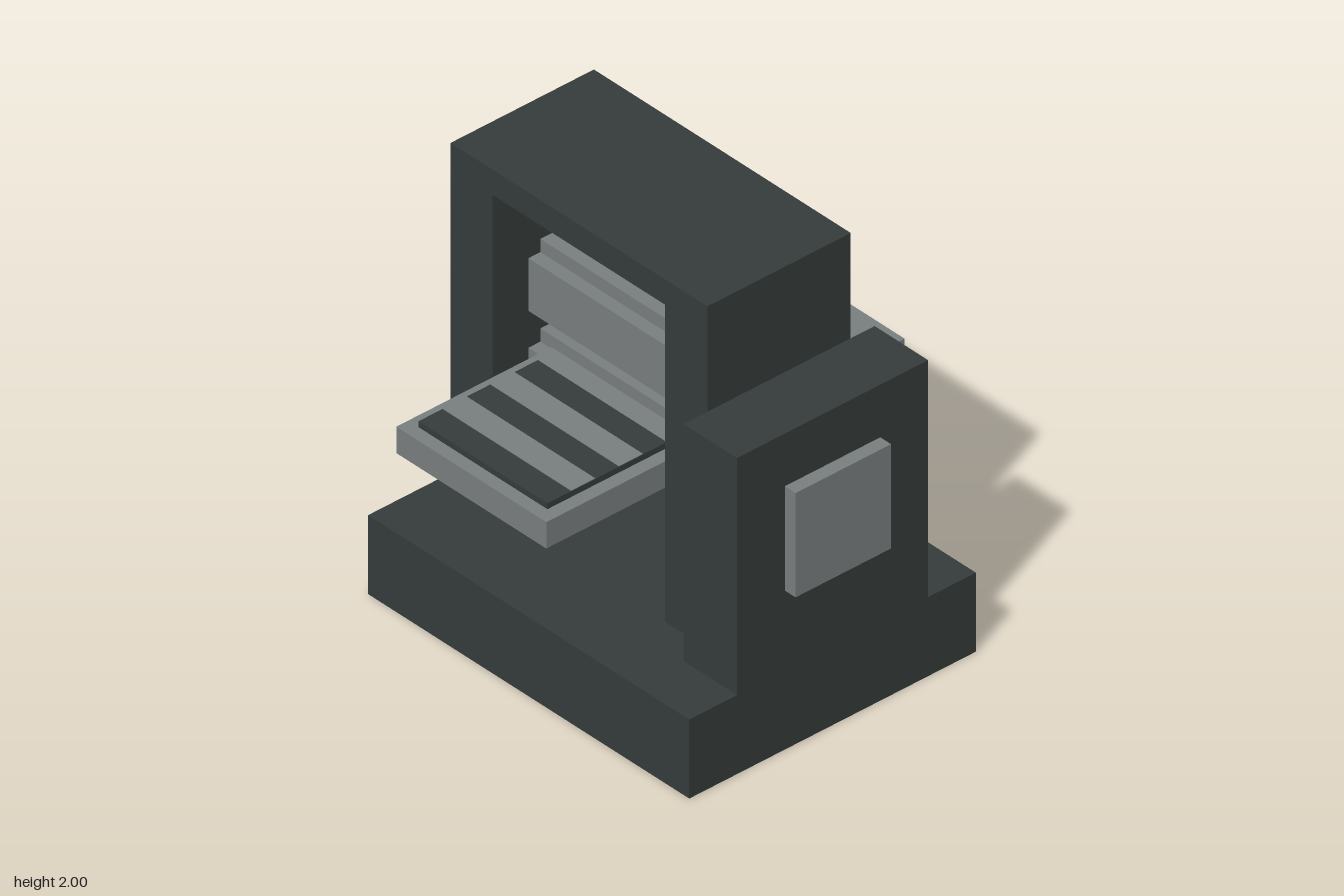
import * as THREE from 'three';

const dark = new THREE.MeshStandardMaterial({ name: 'dark iron', color: 0x353c3b });
const grey = new THREE.MeshStandardMaterial({ name: 'grey steel', color: 0x797e7f });

// Box given by its minimum and maximum on each axis
function block(name, material, [x0, x1], [y0, y1], [z0, z1]) {
  const mesh = new THREE.Mesh(new THREE.BoxGeometry(x1 - x0, y1 - y0, z1 - z0), material);
  mesh.position.set((x0 + x1) / 2, (y0 + y1) / 2, (z0 + z1) / 2);
  mesh.name = name;
  return mesh;
}

// Extrusion of an x-y or z-y outline, centred along its depth
function extrude(name, material, points, depth) {
  const shape = new THREE.Shape(points.map(([x, y]) => new THREE.Vector2(x, y)));
  const geometry = new THREE.ExtrudeGeometry(shape, { depth, bevelEnabled: false });
  geometry.translate(0, 0, -depth / 2);
  const mesh = new THREE.Mesh(geometry, material);
  mesh.name = name;
  return mesh;
}

// Roller with a stepped, cross-shaped section
function roller(name, y) {
  const a = 0.1875, b = 0.125;
  const mesh = extrude(name, grey, [
    [-b, -a], [b, -a], [b, -b], [a, -b], [a, b], [b, b],
    [b, a], [-b, a], [-b, b], [-a, b], [-a, -b], [-b, -b],
  ], 1.005);
  mesh.rotation.y = Math.PI / 2;
  mesh.position.set(-0.1575, y, 0);
  return mesh;
}

export function createModel() {
  const model = new THREE.Group();
  model.name = 'rollerPress';

  // Base, gantry frame and side housing
  model.add(block('base', dark, [-0.968, 0.905], [0, 0.375], [-0.75, 0.75]));
  model.add(extrude('frame', dark, [
    [-0.905, 0.375], [-0.66, 0.375], [-0.66, 1.88], [0.345, 1.88],
    [0.345, 0.375], [0.593, 0.375], [0.593, 2], [-0.905, 2],
  ], 0.75));
  model.add(block('housing', dark, [0.593, 0.905], [0.375, 1.5], [-0.5, 0.5]));
  model.add(block('sidePanel', grey, [0.905, 0.968], [0.755, 1.25], [-0.25, 0.25]));

  // Rollers and the ram above them
  model.add(roller('upperRoller', 1.3675));
  model.add(roller('lowerRoller', 0.9425));
  model.add(block('ram', grey, [-0.28, -0.033], [1.55, 1.88], [-0.0625, 0.0625]));

  // Feed table with a striped plate at the front
  model.add(block('table', grey, [-0.595, 0.28], [0.95, 1.075], [-0.9375, 0.9375]));
  model.add(block('stripedPlate', dark, [-0.535, 0.217], [1.075, 1.103], [0.25, 0.875]));
  for (const z of [0.375, 0.625]) {
    model.add(block('stripe', grey, [-0.535, 0.217], [1.103, 1.106], [z, z + 0.125]));
  }
  return model;
}
